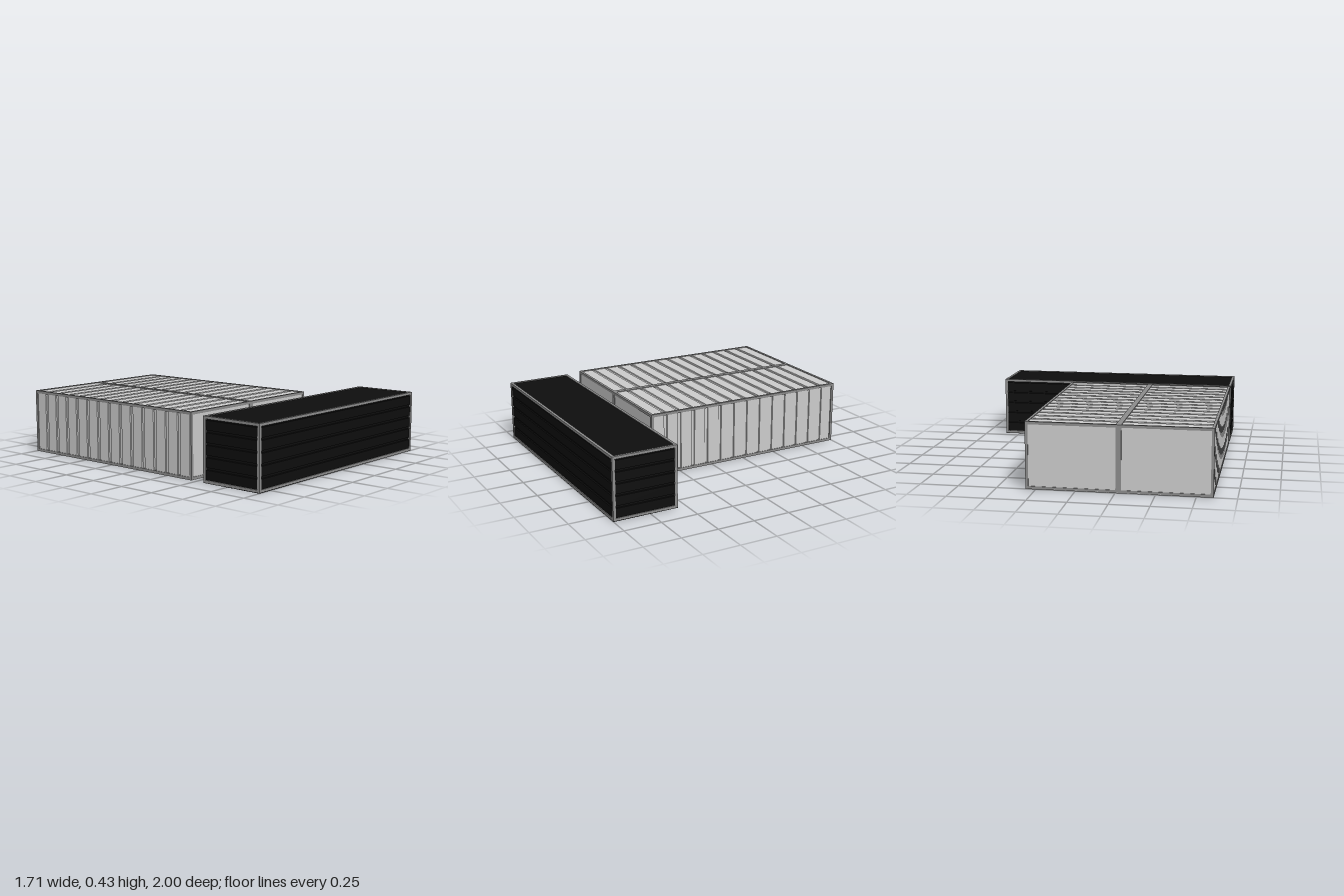
import * as THREE from 'three';

const frameMat = new THREE.MeshStandardMaterial({ color: 0x8c8c8c });
const greyMat = new THREE.MeshStandardMaterial({ color: 0xcccccc });
const blackMat = new THREE.MeshStandardMaterial({ color: 0x0e0e0e });

const BAR = 0.018;    // frame bar thickness
const INSET = 0.004;  // rib face behind the frame face
const DEPTH = 0.008;  // groove depth

function box(parent, name, mat, size, pos) {
  const mesh = new THREE.Mesh(new THREE.BoxGeometry(...size), mat);
  mesh.name = name;
  mesh.position.set(...pos);
  parent.add(mesh);
  return mesh;
}

// Twelve bars along the edges of a w x h x d block standing on y = 0
function addFrame(parent, w, h, d) {
  const frame = new THREE.Group();
  frame.name = 'frame';
  const x = (w - BAR) / 2, z = (d - BAR) / 2;
  for (const s of [-1, 1]) {
    for (const t of [-1, 1]) {
      box(frame, 'cornerPost', frameMat, [BAR, h - 0.002, BAR], [s * x, h / 2 + 0.001, t * z]);
    }
    for (const y of [BAR / 2 + 0.001, h - BAR / 2]) {
      box(frame, 'longRail', frameMat, [BAR, BAR, d - 2 * BAR], [s * x, y, 0]);
      box(frame, 'crossRail', frameMat, [w - 2 * BAR, BAR, BAR], [0, y, s * z]);
    }
  }
  parent.add(frame);
}

// Ribbed wall lying in the local xy plane, facing +z; ribs are stacked along x.
// Its outer face is at z = 0 and its grooves at z = -DEPTH.
function ribbedWall(name, mat, length, height, pitch, gap) {
  const wall = new THREE.Group();
  wall.name = name;
  box(wall, 'backSheet', mat, [length, height, 0.004], [0, 0, -DEPTH - 0.002]);
  for (let a = 0; a < length - 0.005; a += pitch) {
    const b = Math.min(a + pitch - gap, length);
    const slope = 0.002;
    const shape = new THREE.Shape();
    shape.moveTo(a, -DEPTH);
    shape.lineTo(b, -DEPTH);
    shape.lineTo(b - slope, 0);
    shape.lineTo(a + slope, 0);
    const geo = new THREE.ExtrudeGeometry(shape, { depth: height, bevelEnabled: false });
    geo.rotateX(Math.PI / 2);
    // the profile's y is now the wall's z
    geo.translate(-length / 2, height / 2, 0);
    const rib = new THREE.Mesh(geo, mat);
    rib.name = 'rib';
    // extrusion runs downward after the turn, filling the height
    wall.add(rib);
  }
  return wall;
}

// Grey unit: ribs across the roof and down the long sides, plain ends
function greyContainer(w, h, d) {
  const unit = new THREE.Group();
  unit.name = 'greyContainer';
  addFrame(unit, w, h, d);
  const iw = w - 2 * BAR, ih = h - 2 * BAR, id = d - 2 * BAR;
  for (const s of [-1, 1]) {
    const side = ribbedWall('sideWall', greyMat, id, ih, 0.1035, 0.02);
    // mirrored walls are turned over so ribs always start at the back
    side.rotation.set(0, s * Math.PI / 2, s > 0 ? Math.PI : 0);
    side.position.set(s * (w / 2 - INSET), h / 2, 0);
    unit.add(side);
    box(unit, 'endWall', greyMat, [iw, ih, 0.006], [0, h / 2, s * (d / 2 - INSET - 0.003)]);
  }
  const roof = ribbedWall('roof', greyMat, id, iw, 0.1035, 0.02);
  roof.rotation.set(-Math.PI / 2, 0, -Math.PI / 2);
  roof.position.set(0, h - INSET, 0);
  unit.add(roof);
  box(unit, 'floor', greyMat, [w, 0.004, d], [0, 0.002, 0]);
  return unit;
}

// Black unit: horizontal ribs on all four walls, plain roof
function blackContainer(w, h, d) {
  const unit = new THREE.Group();
  unit.name = 'blackContainer';
  addFrame(unit, w, h, d);
  const ih = h - 2 * BAR;
  const walls = [[w, d, 0], [d, w, Math.PI / 2], [w, d, Math.PI], [d, w, -Math.PI / 2]];
  for (const [len, across, turn] of walls) {
    const wall = ribbedWall('ribbedWall', blackMat, ih, len - 2 * BAR, 0.0775, 0.012);
    wall.rotation.z = Math.PI / 2;
    const holder = new THREE.Group();
    holder.name = 'wall';
    holder.add(wall);
    wall.position.z = across / 2 - INSET;
    holder.position.y = h / 2;
    holder.rotation.y = turn;
    unit.add(holder);
  }
  box(unit, 'roof', blackMat, [w - 2 * BAR, 0.008, d - 2 * BAR], [0, h - INSET - 0.004, 0]);
  box(unit, 'floor', blackMat, [w, 0.004, d], [0, 0.002, 0]);
  return unit;
}

export function createModel() {
  const model = new THREE.Group();
  model.name = 'containers';

  // Two grey units side by side behind
  for (const x of [-0.5625, 0.0225]) {
    const unit = greyContainer(0.585, 0.43, 1.462);
    unit.position.set(x, 0, -0.269);
    model.add(unit);
  }

  // One black unit across the front
  const black = blackContainer(1.71, 0.418, 0.44);
  black.position.set(0, 0, 0.78);
  model.add(black);
  return model;
}
